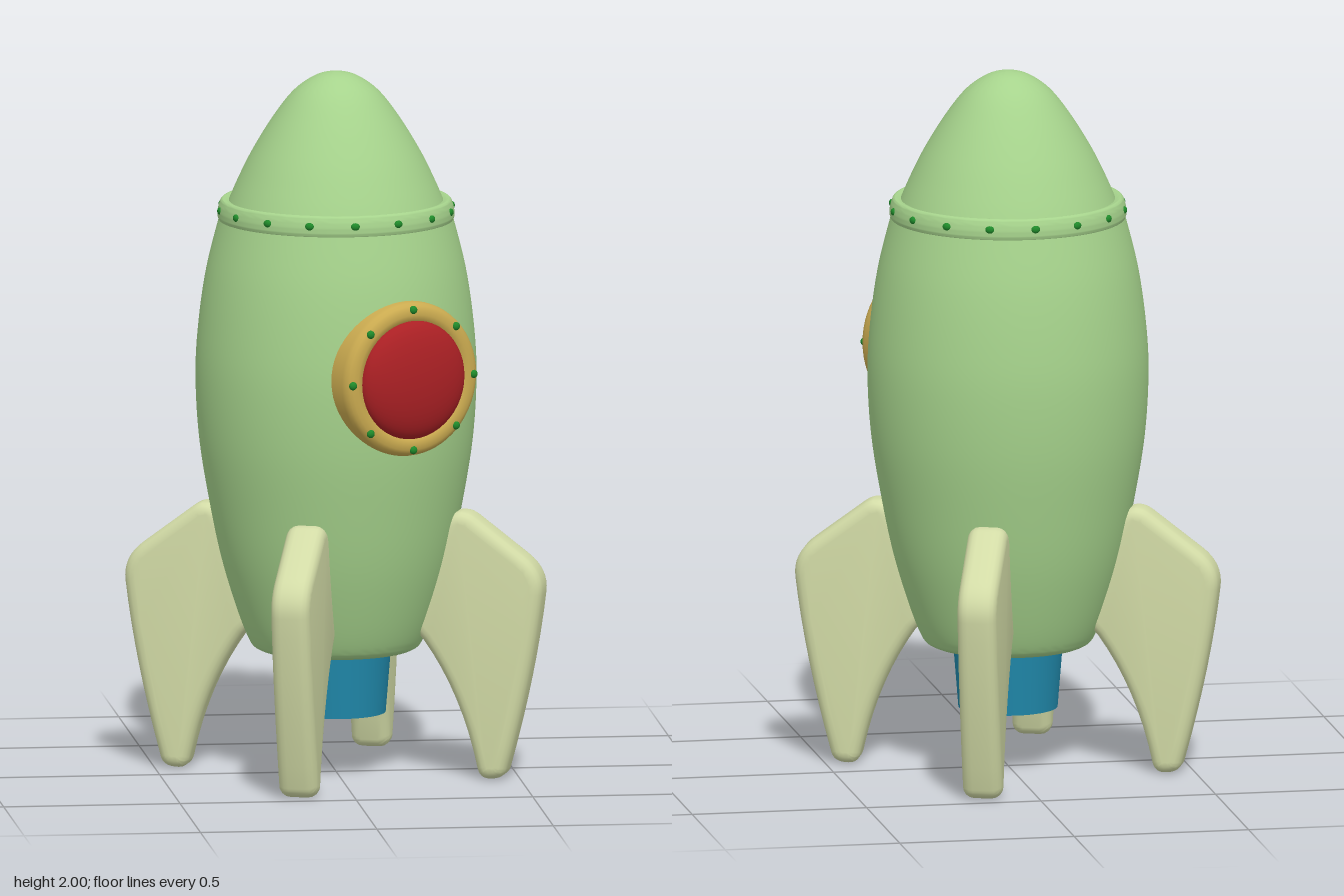
import * as THREE from 'three';
import { toCreasedNormals } from 'three/addons/utils/BufferGeometryUtils.js';

const mat = (color, side = THREE.FrontSide) => new THREE.MeshStandardMaterial({ color, side });
const green = mat(0xa6d38c);
const cream = mat(0xd2dba6);
const gold = mat(0xcbab50);
const red = mat(0xab2024);
const blue = mat(0x2088aa, THREE.DoubleSide);
const rivetGreen = mat(0x1f8a2a);

function add(parent, name, geometry, material) {
  const mesh = new THREE.Mesh(geometry, material);
  mesh.name = name;
  parent.add(mesh);
  return mesh;
}

const toPoints = (pairs) => pairs.map(([r, y]) => new THREE.Vector2(r, y));

// Smooth curve through a few [radius, height] points
function smooth(pairs, n) {
  const pts = new THREE.SplineCurve(toPoints(pairs)).getPoints(n);
  pts.forEach((p) => { p.x = Math.max(p.x, 0); });
  return pts;
}

function lathe(points, segments = 64, crease = 0.6) {
  return toCreasedNormals(new THREE.LatheGeometry(points, segments), crease);
}

// Fin outline: x runs outward from the axis, y is height
function finGeometry() {
  const s = new THREE.Shape();
  s.moveTo(0.18, 0.48);
  s.lineTo(0.26, 0.39);
  s.quadraticCurveTo(0.37, 0.24, 0.415, 0.03);
  s.quadraticCurveTo(0.422, 0, 0.45, 0);
  s.quadraticCurveTo(0.492, 0, 0.5, 0.03);
  s.quadraticCurveTo(0.575, 0.3, 0.602, 0.53);
  s.quadraticCurveTo(0.61, 0.595, 0.55, 0.64);
  s.lineTo(0.41, 0.745);
  s.quadraticCurveTo(0.37, 0.775, 0.33, 0.745);
  s.lineTo(0.22, 0.64);
  s.closePath();
  const bevel = 0.032;
  const thickness = 0.112;
  const g = new THREE.ExtrudeGeometry(s, {
    depth: thickness - 2 * bevel,
    bevelEnabled: true,
    bevelThickness: bevel,
    bevelSize: bevel,
    bevelOffset: -bevel,
    bevelSegments: 4,
    curveSegments: 8,
  });
  g.translate(0, 0, -(thickness - 2 * bevel) / 2);
  return toCreasedNormals(g, 0.7);
}

export function createModel() {
  const rocket = new THREE.Group();
  rocket.name = 'rocket';

  // Hull with a rounded underside
  const hull = smooth([
    [0.19, 0.35], [0.222, 0.356], [0.245, 0.38], [0.28, 0.47], [0.322, 0.61], [0.354, 0.76],
    [0.385, 0.95], [0.396, 1.13], [0.388, 1.28], [0.365, 1.44], [0.325, 1.6],
  ], 60);
  add(rocket, 'hull', lathe([new THREE.Vector2(0, 0.35), ...hull], 80), green);

  // Nose cone
  const nose = smooth([
    [0.311, 1.61], [0.282, 1.68], [0.238, 1.77], [0.177, 1.87], [0.118, 1.945], [0.055, 1.988], [0, 2],
  ], 36);
  add(rocket, 'noseCone', lathe(nose, 80), green);

  // Collar between hull and nose, with rivets
  const collar = smooth([
    [0.315, 1.572], [0.328, 1.575], [0.334, 1.59], [0.332, 1.61], [0.326, 1.63], [0.317, 1.637], [0.3, 1.632],
  ], 24);
  add(rocket, 'collar', lathe(collar, 80), green);

  const rivetGeometry = new THREE.SphereGeometry(0.012, 12, 8);
  const collarRivets = new THREE.Group();
  collarRivets.name = 'collarRivets';
  rocket.add(collarRivets);
  for (let i = 0; i < 16; i++) {
    const a = (i / 16) * Math.PI * 2 + 0.05;
    const rivet = add(collarRivets, 'collarRivet', rivetGeometry, rivetGreen);
    rivet.position.set(Math.cos(a) * 0.331, 1.608, -Math.sin(a) * 0.331);
    rivet.rotation.y = a;
    rivet.scale.set(0.7, 0.9, 1.1);
  }

  // Porthole, built along +z and turned towards the front left
  const porthole = new THREE.Group();
  porthole.name = 'porthole';
  porthole.position.y = 1.175;
  porthole.rotation.y = THREE.MathUtils.degToRad(25.3);
  rocket.add(porthole);

  const frame = lathe(toPoints([
    [0.22, 0.3], [0.22, 0.385], [0.217, 0.398], [0.21, 0.408], [0.2, 0.413], [0.185, 0.415], [0.17, 0.412], [0.16, 0.4],
  ]), 64, 0.7);
  add(porthole, 'portholeFrame', frame.rotateX(Math.PI / 2), gold);

  const glass = new THREE.SphereGeometry(1, 48, 16, 0, Math.PI * 2, 0, Math.PI / 2);
  glass.rotateX(Math.PI / 2).scale(0.169, 0.169, 0.058).translate(0, 0, 0.407);
  add(porthole, 'portholeGlass', glass, red);

  for (let i = 0; i < 8; i++) {
    const a = (i / 8) * Math.PI * 2;
    const rivet = add(porthole, 'portholeRivet', rivetGeometry, rivetGreen);
    rivet.position.set(Math.cos(a) * 0.2, Math.sin(a) * 0.2, 0.412);
    rivet.scale.z = 0.8;
  }

  // Engine nozzle, open underneath
  const nozzle = toPoints([[0, 0.34], [0.128, 0.34], [0.128, 0.172], [0.14, 0.172], [0.156, 0.37]]);
  add(rocket, 'engineNozzle', lathe(nozzle, 48), blue);

  // Four landing fins
  const fin = finGeometry();
  for (let i = 0; i < 4; i++) {
    const mesh = add(rocket, 'landingFin', fin, cream);
    mesh.rotation.y = -THREE.MathUtils.degToRad(19.5 + i * 90);
  }

  return rocket;
}
